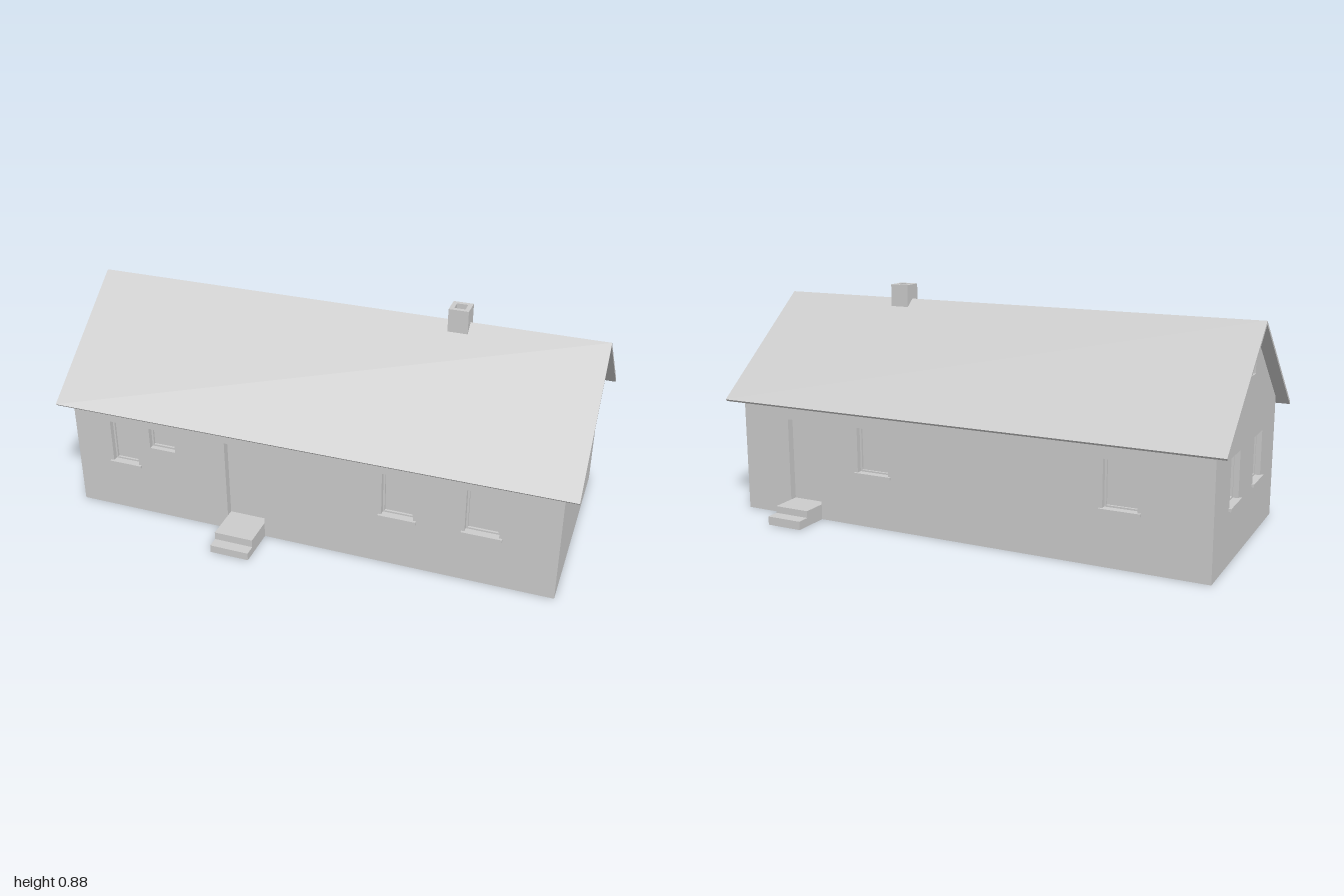
import * as THREE from 'three';

const mat = new THREE.MeshStandardMaterial({ color: 0xcccccc, flatShading: true });
const WALL = 0.03;                          // wall thickness
const X0 = -0.953, X1 = 0.948, ZF = 0.408, ZB = -0.425, RIDGE = -0.009;

function add(parent, name, geo, x = 0, y = 0, z = 0) {
  const m = new THREE.Mesh(geo, mat);
  m.name = name;
  m.position.set(x, y, z);
  parent.add(m);
  return m;
}
const poly = pts => new THREE.Shape(pts.map(p => new THREE.Vector2(...p)));
const rect = (a, b, c, d) => poly([[a, c], [b, c], [b, d], [a, d]]);
const extrude = (shape, depth) => new THREE.ExtrudeGeometry(shape, { depth, bevelEnabled: false });

function box(parent, name, a, b, c, d, e, f) {
  return add(parent, name, new THREE.BoxGeometry(b - a, d - c, f - e), (a + b) / 2, (c + d) / 2, (e + f) / 2);
}

// Extrude a [z, y] profile along x from a to b
function alongX(parent, name, pts, a, b) {
  const m = add(parent, name, extrude(poly(pts), b - a), b, 0, 0);
  m.rotation.y = -Math.PI / 2;
  return m;
}

// Wall panel with its openings; local +z points outwards, outer face at z = 0
function wall(name, outline, openings, x, z, angle) {
  const g = new THREE.Group();
  g.name = name;
  const shape = poly(outline);
  for (const { u: [a, b], v: [c, d], door, sill } of openings) {
    shape.holes.push(rect(a, b, c, d));
    box(g, door ? 'door' : 'windowPane', a - 0.005, b + 0.005, c - 0.005, d + 0.005, -WALL - 0.01, -WALL + 0.001);
    if (door) continue;
    const t = 0.007, ring = rect(a, b, c, d);
    ring.holes.push(rect(a + t, b - t, c + t, d - t));
    add(g, 'windowFrame', extrude(ring, 0.01), 0, 0, -WALL);
    if (sill) box(g, 'windowSill', a - 0.012, b + 0.012, c - 0.01, c + 0.001, -WALL, 0.01);
  }
  add(g, 'wallPanel', extrude(shape, WALL), 0, 0, -WALL);
  g.position.set(x, 0, z);
  g.rotation.y = angle;
  return g;
}

const win = (a, b) => ({ u: [a, b], v: [0.21, 0.385], sill: true });
const door = (a, b) => ({ u: [a, b], v: [0.06, 0.385], door: true });

export function createModel() {
  const house = new THREE.Group();
  house.name = 'house';

  // Long walls
  const long = (a, b) => [[a, 0], [b, 0], [b, 0.478], [a, 0.478]];
  const e = 0.002;
  house.add(wall('frontWall', long(X0 + e, X1 - e), [
    win(-0.80, -0.69),
    { u: [-0.633, -0.527], v: [0.30, 0.385] },
    door(-0.318, -0.165),
    win(0.30, 0.42),
    win(0.61, 0.735),
  ], 0, ZF, 0));
  house.add(wall('backWall', long(-X1 + e, -X0 - e), [
    door(-0.742, -0.597),
    win(-0.424, -0.29),
    win(0.565, 0.692),
  ], 0, ZB, Math.PI));

  // Gable walls
  const gable = s => {
    const pts = [[ZB, 0], [ZF, 0], [ZF, 0.478], [RIDGE, 0.815], [ZB, 0.478]].map(([z, y]) => [s * z, y]);
    return s < 0 ? pts.reverse() : pts;
  };
  const attic = s => ({ u: s > 0 ? [-0.073, 0.058] : [-0.058, 0.073], v: [0.625, 0.70] });
  house.add(wall('leftGable', gable(-1), [attic(-1)], X1, 0, Math.PI / 2));
  house.add(wall('rightGable', gable(1), [attic(1), win(-0.233, -0.112), win(0.088, 0.208)], X0, 0, -Math.PI / 2));

  // Floor slab
  box(house, 'floor', X0 + e, X1 - e, 0, 0.02, ZB + e, ZF - e);

  // Thin pitched roof with overhang
  alongX(house, 'roof', [
    [0.457, 0.449], [RIDGE, 0.826], [-0.476, 0.449],
    [-0.468, 0.441], [RIDGE, 0.813], [0.449, 0.441],
  ], -1, 1);

  // Hollow chimney straddling the ridge
  const stack = rect(0.42, 0.495, -0.03, 0.046);
  stack.holes.push(rect(0.437, 0.478, -0.013, 0.029));
  add(house, 'chimney', extrude(stack, 0.093), 0, 0.79, 0).rotation.x = -Math.PI / 2;

  // Two-step stoops at both doors
  alongX(house, 'frontSteps', [
    [ZF - 0.02, 0], [0.57, 0], [0.57, 0.03], [0.527, 0.03], [0.527, 0.06], [ZF - 0.02, 0.06],
  ], -0.318, -0.165);
  alongX(house, 'backSteps', [
    [ZB + 0.02, 0], [-0.57, 0], [-0.57, 0.033], [-0.52, 0.033], [-0.52, 0.06], [ZB + 0.02, 0.06],
  ], 0.597, 0.742);

  return house;
}
